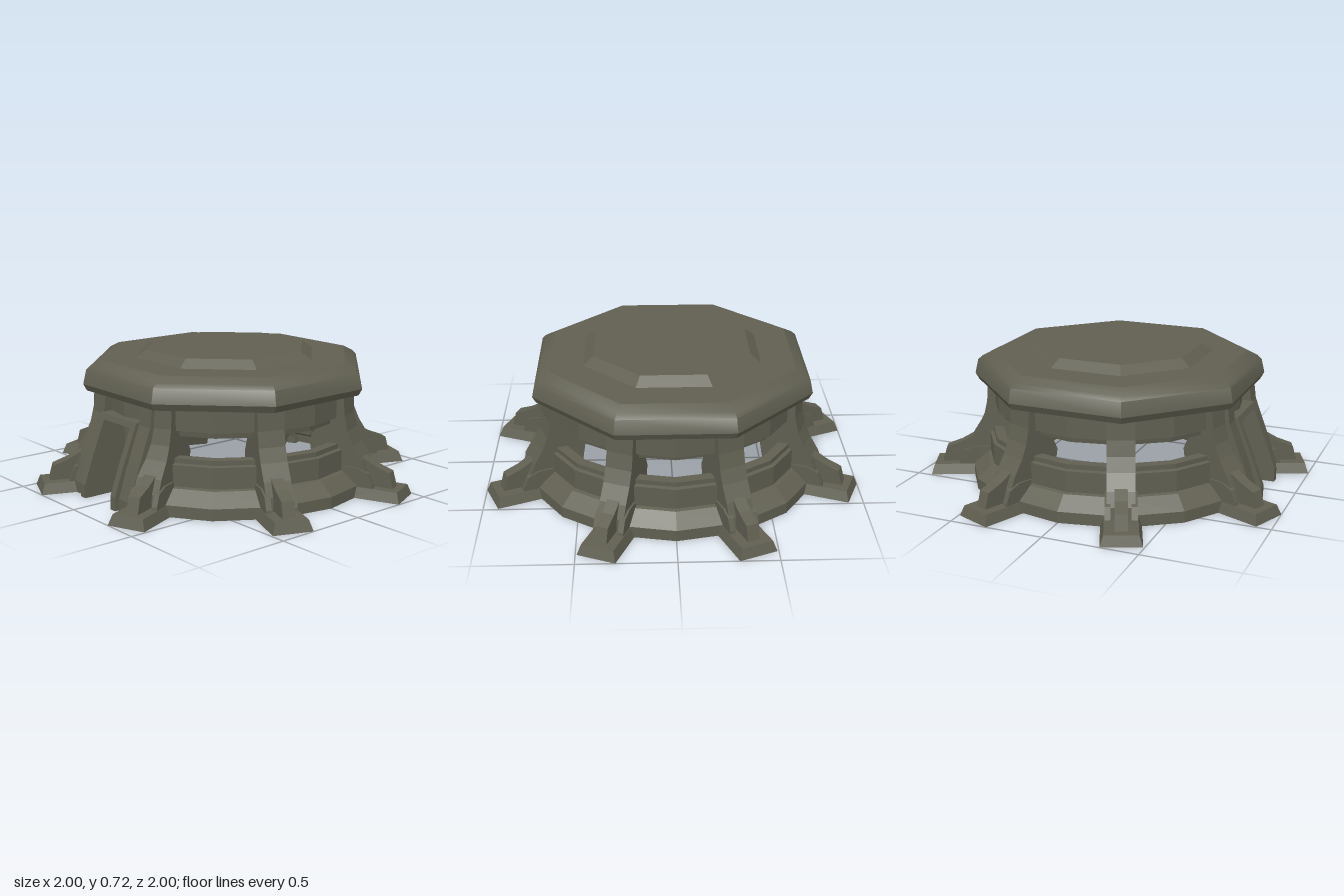
import * as THREE from 'three';
import { toCreasedNormals } from 'three/addons/utils/BufferGeometryUtils.js';

const RAD = Math.PI / 180;
const concrete = new THREE.MeshStandardMaterial({ color: 0x605f51, side: THREE.DoubleSide });
concrete.name = 'olive concrete';

function add(parent, geometry, name, crease = 0.05) {
  const mesh = new THREE.Mesh(toCreasedNormals(geometry, crease), concrete);
  mesh.name = name;
  parent.add(mesh);
}

// Side profile of [outward, up] points, extruded to a width about z = 0
function slab(profile, width) {
  const shape = new THREE.Shape(profile.map(([r, y]) => new THREE.Vector2(r, y)));
  const geo = new THREE.ExtrudeGeometry(shape, { depth: width, bevelEnabled: false });
  return geo.translate(0, 0, -width / 2);
}

// Closed profile swept through one bay, centred on an angle from the front
function bay(profile, angle) {
  const pts = [...profile, profile[0]].map(([r, y]) => new THREE.Vector2(r, y));
  return new THREE.LatheGeometry(pts, 2, (angle - 22.5) * RAD, 45 * RAD);
}

// Eight-sided surface, radii given at the middle of each side
function octagon(profile) {
  const k = 1 / Math.cos(22.5 * RAD);
  const pts = profile.map(([r, y]) => new THREE.Vector2(r * k, y));
  return new THREE.LatheGeometry(pts, 8, 22.5 * RAD, Math.PI * 2);
}

// Bevelled plate, open underneath
function footPlate(r0, r1, halfWidth, height, inset) {
  const geo = new THREE.BoxGeometry(r1 - r0, height, halfWidth * 2);
  geo.translate((r0 + r1) / 2, height / 2, 0);
  const p = geo.attributes.position;
  for (let i = 0; i < p.count; i++) {
    if (p.getY(i) < height / 2) continue;
    if (p.getX(i) > (r0 + r1) / 2) p.setX(i, p.getX(i) - inset);
    p.setZ(i, p.getZ(i) - Math.sign(p.getZ(i)) * inset);
  }
  const index = [...geo.index.array];
  index.splice(18, 6); // the bottom face
  geo.setIndex(index);
  return geo;
}

function createLeg() {
  const leg = new THREE.Group();
  leg.name = 'leg';
  // curved buttress, deeper towards the inside
  add(leg, slab([
    [0.60, 0], [0.65, 0], [0.69, 0.045], [0.86, 0.045], [0.85, 0.12], [0.82, 0.19],
    [0.77, 0.27], [0.74, 0.34], [0.722, 0.42], [0.715, 0.53],
    [0.60, 0.53], [0.575, 0.37], [0.53, 0.27], [0.56, 0.1],
  ], 0.14), 'buttress');
  // wider cheeks at the base, either side of the toe block
  for (const s of [-1, 1]) {
    add(leg, slab([
      [0.72, 0.04], [0.89, 0.04], [0.885, 0.07], [0.86, 0.13], [0.80, 0.155], [0.72, 0.155],
    ], 0.03).translate(0, 0, s * 0.066), 'baseCheek');
  }
  add(leg, slab([
    [0.80, 0.045], [0.985, 0.045], [0.96, 0.135], [0.88, 0.165], [0.80, 0.21],
  ], 0.065), 'toeBlock');
  add(leg, footPlate(0.73, 1.04, 0.103, 0.055, 0.018), 'footPlate');
  return leg;
}

export function createModel() {
  const model = new THREE.Group();
  model.name = 'bunker';

  // Roof: rounded rim, flat deck and raised panel
  add(model, octagon([
    [0, 0.52], [0.71, 0.52], [0.728, 0.555], [0.712, 0.63], [0.69, 0.652], [0.64, 0.68],
  ]), 'roofRim', 0.68);
  add(model, octagon([[0.64, 0.68], [0.465, 0.68]]), 'roofDeck');
  add(model, octagon([[0.465, 0.68], [0.41, 0.722], [0, 0.722]]), 'roofPanel');

  // Legs under the roof corners
  for (let i = 0; i < 8; i++) {
    const leg = createLeg();
    leg.rotation.y = (22.5 + 45 * i - 90) * RAD;
    model.add(leg);
  }

  // Thin walls between the legs, with an open window band
  const lowerWall = [
    [0.80, 0], [0.82, 0], [0.82, 0.06], [0.745, 0.125], [0.725, 0.13],
    [0.725, 0.24], [0.705, 0.245], [0.705, 0.27], [0.65, 0.27], [0.65, 0.10], [0.80, 0.045],
  ];
  const upperWall = [
    [0.61, 0.37], [0.655, 0.37], [0.66, 0.40], [0.69, 0.405], [0.69, 0.53], [0.61, 0.53],
  ];
  for (let i = 1; i < 8; i++) {
    add(model, bay(lowerWall, 45 * i), 'lowerWall');
    add(model, bay(upperWall, 45 * i), 'windowLintel');
  }

  // Front bay: wall above the doorway
  add(model, bay([[0.62, 0.40], [0.68, 0.40], [0.68, 0.53], [0.62, 0.53]], 0), 'doorLintel');

  // Door frame with sloping posts, and flank walls reaching the legs
  const door = new THREE.Group();
  door.name = 'doorFrame';
  door.rotation.y = -90 * RAD;
  for (const s of [-1, 1]) {
    add(door, slab([
      [0.60, 0], [0.855, 0], [0.855, 0.07], [0.80, 0.22], [0.715, 0.43], [0.60, 0.43],
    ], 0.04).translate(0, 0, s * 0.135), 'doorPost');
    add(door, slab([
      [0.62, 0], [0.83, 0], [0.83, 0.06], [0.78, 0.21], [0.70, 0.42], [0.685, 0.53], [0.62, 0.53],
    ], 0.095).translate(0, 0, s * 0.2025), 'doorFlank');
  }
  add(door, slab([[0.61, 0.40], [0.727, 0.40], [0.715, 0.43], [0.61, 0.43]], 0.24), 'doorHeader');
  model.add(door);

  return model;
}
